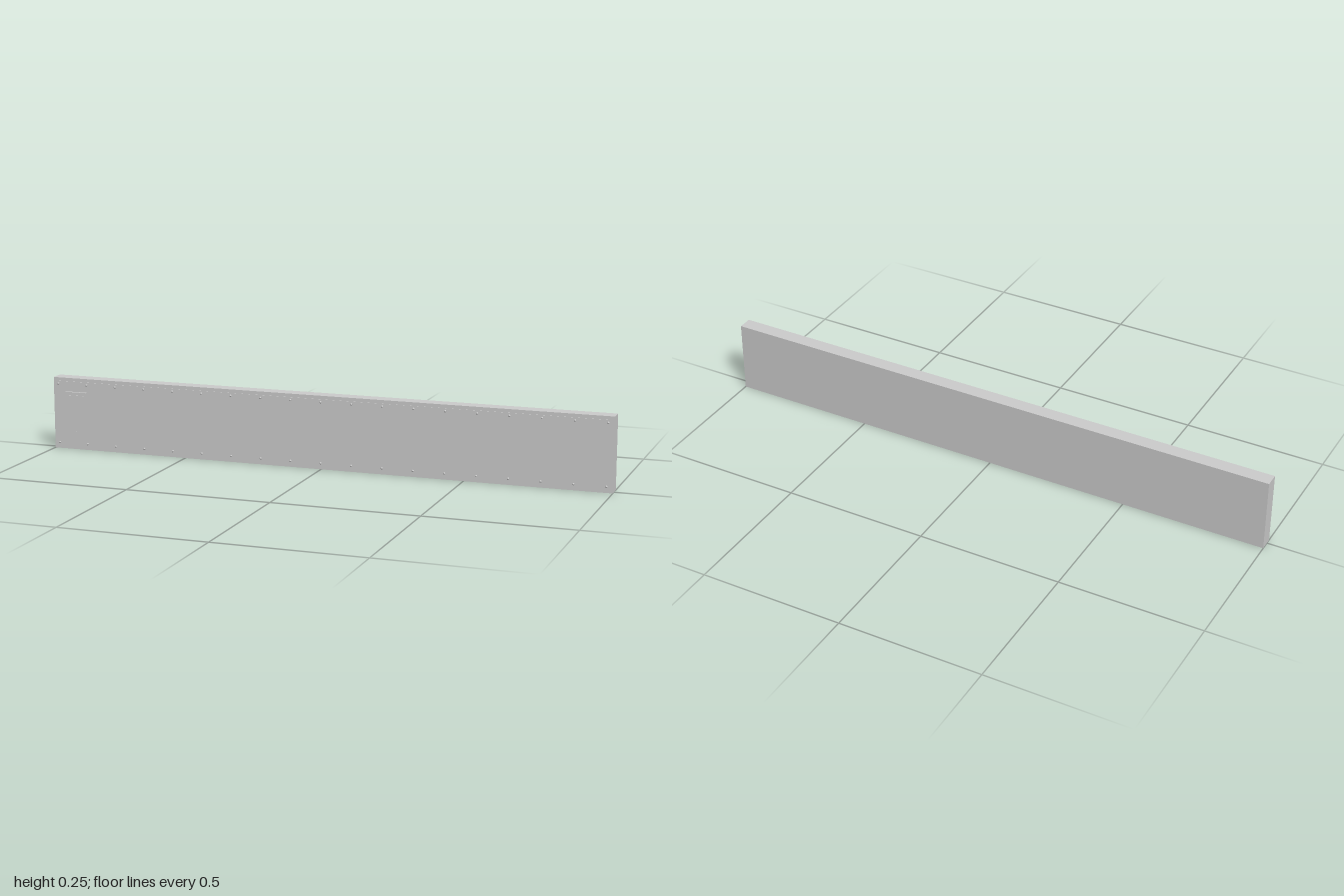
import * as THREE from 'three';

const material = new THREE.MeshStandardMaterial({ color: 0xcccccc });

// Box given by its extents on each axis
function slab(name, [x0, x1], [y0, y1], [z0, z1]) {
  const mesh = new THREE.Mesh(new THREE.BoxGeometry(x1 - x0, y1 - y0, z1 - z0), material);
  mesh.name = name;
  mesh.position.set((x0 + x1) / 2, (y0 + y1) / 2, (z0 + z1) / 2);
  return mesh;
}

export function createModel() {
  const group = new THREE.Group();
  group.name = 'wallPanel';

  // Main body with a thin raised face plate
  group.add(slab('body', [-1, 1], [0, 0.254], [-0.031, 0.0185]));
  group.add(slab('facePlate', [-0.988, 0.988], [0.012, 0.242], [0.018, 0.0205]));

  // Access box with raised cover and small latch
  const hatch = new THREE.Group();
  hatch.name = 'accessHatch';
  hatch.add(slab('hatchBox', [-0.95, -0.87], [0.05, 0.206], [0.02, 0.0293]));
  hatch.add(slab('hatchCover', [-0.94, -0.88], [0.071, 0.195], [0.029, 0.0317]));
  hatch.add(slab('hatchLatch', [-0.911, -0.905], [0.055, 0.067], [0.029, 0.0312]));
  group.add(hatch);

  // Rows of round-headed bolts along the top and bottom edges
  const profile = [[0, 0], [0.003, 0], [0.003, 0.002], [0.004, 0.0025], [0.0038, 0.0045], [0.0022, 0.006], [0, 0.0065]]
    .map(([r, h]) => new THREE.Vector2(r, h));
  const boltGeometry = new THREE.LatheGeometry(profile, 12).rotateX(Math.PI / 2);
  const bolts = new THREE.Group();
  bolts.name = 'bolts';
  for (const y of [0.022, 0.233]) {
    for (let i = 0; i < 19; i++) {
      const bolt = new THREE.Mesh(boltGeometry, material);
      bolt.name = 'bolt';
      bolt.position.set(-0.98 + (i * 1.96) / 18, y, 0.02);
      bolts.add(bolt);
    }
  }
  group.add(bolts);
  return group;
}
